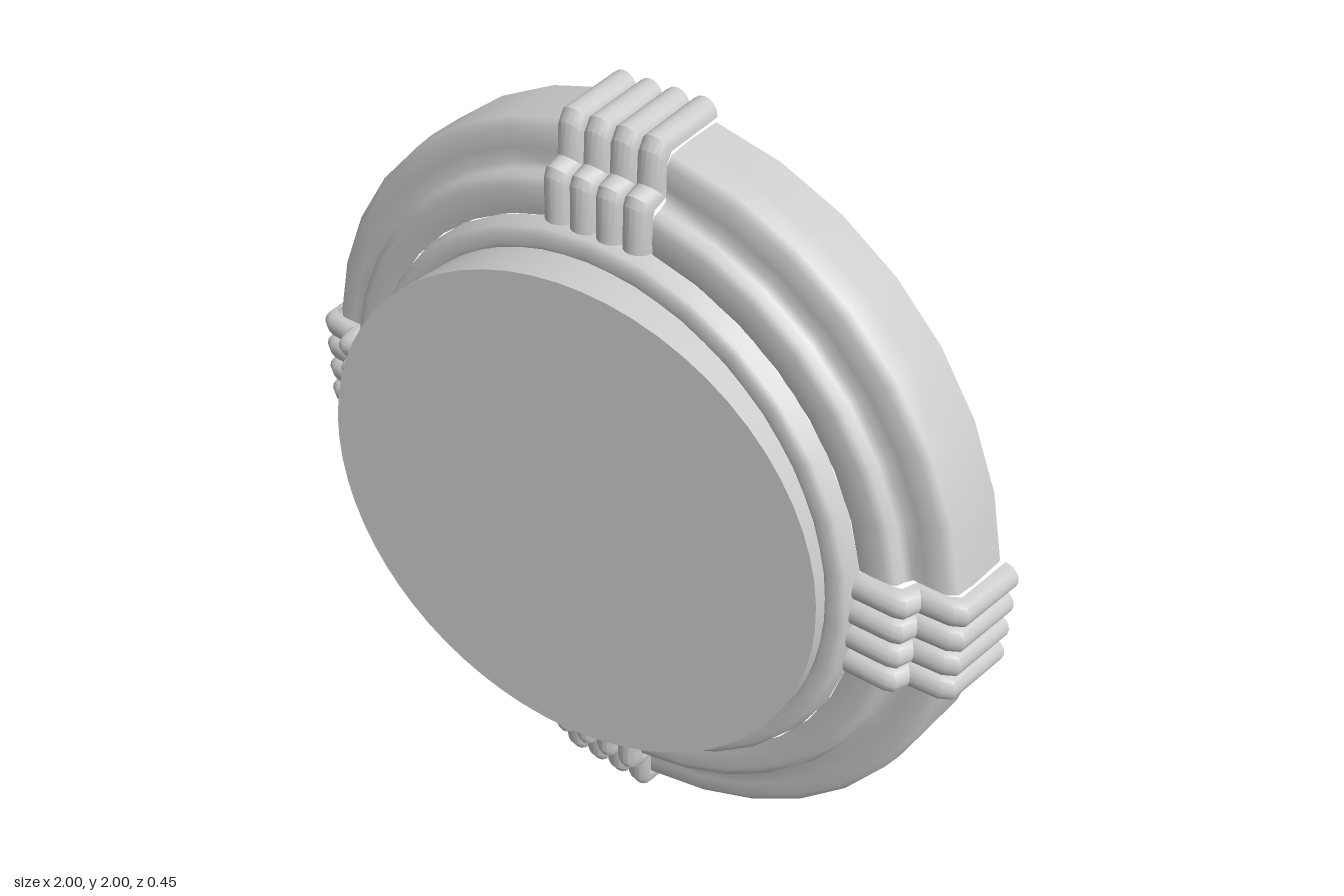
import * as THREE from 'three';
import { toCreasedNormals } from 'three/addons/utils/BufferGeometryUtils.js';
import { ParametricGeometry } from 'three/addons/geometries/ParametricGeometry.js';

const mat = new THREE.MeshStandardMaterial({ color: 0xcccccc, side: THREE.DoubleSide });
const DISC_R = 0.675, RIB_HALF = 0.0363, BAND_HALF = RIB_HALF * 4;

// Profiles are [radius, z] pairs
const shellProfile = [
  [0.96, -0.225], [0.954, -0.12], [0.945, -0.065], [0.925, -0.049], [0.88, -0.045],
  [0.845, -0.049], [0.834, -0.03], [0.826, -0.008], [0.805, 0.001], [0.765, 0.001], [0.738, -0.004],
];
const innerProfile = [[0.738, -0.004], [0.732, 0.015], [0.725, 0.036], [0.71, 0.045], [0.685, 0.046], [DISC_R, 0.042]];
const ribValley = [
  [0.962, -0.225], [0.945, -0.06], [0.92, -0.045], [0.845, -0.045], [0.83, -0.005], [0.81, 0], [0.73, 0],
];
const ribCrest = [
  [1, -0.225], [0.978, -0.04], [0.95, -0.022], [0.875, -0.015], [0.862, 0.024], [0.84, 0.034], [0.73, 0.034],
];

function add(parent, name, geometry) {
  const mesh = new THREE.Mesh(geometry, mat);
  mesh.name = name;
  parent.add(mesh);
  return mesh;
}

function lathe(profile, segments, arc) {
  const pts = profile.map(([r, z]) => new THREE.Vector2(r, z));
  return new THREE.LatheGeometry(pts, segments, 0, arc).rotateX(Math.PI / 2);
}

// Quarter of the stepped shell, its ends trimmed straight along the rib bands
function shellQuarter() {
  const geo = lathe(shellProfile, 7, Math.PI / 2);
  const p = geo.attributes.position;
  for (let i = 0; i < p.count; i++) {
    const r = Math.hypot(p.getX(i), p.getY(i));
    const t = Math.atan2(p.getX(i), -p.getY(i)) / (Math.PI / 2);
    const trim = Math.asin((BAND_HALF - 0.003) / r);
    const a = THREE.MathUtils.lerp(trim, Math.PI / 2 - trim, t);
    p.setXY(i, r * Math.sin(a), -r * Math.cos(a));
  }
  geo.computeVertexNormals();
  return geo;
}

// One half-round rib following the stepped profile, pointing up
function ribGeometry() {
  const steps = ribCrest.length - 1;
  const geo = new ParametricGeometry((u, v, target) => {
    const i = Math.round(v * steps);
    const a = Math.PI * u;
    const h = Math.sin(a);
    const [r0, z0] = ribValley[i], [r1, z1] = ribCrest[i];
    target.set(-Math.cos(a) * RIB_HALF, r0 + (r1 - r0) * h, z0 + (z1 - z0) * h);
  }, 8, steps);
  return toCreasedNormals(geo, 0.5);
}

export function createModel() {
  const model = new THREE.Group();
  model.name = 'steppedRoundCap';
  const body = new THREE.Group();
  body.name = 'body';
  body.position.y = 1;
  model.add(body);

  // Four shell quarters with a band of four ribs between each pair
  const quarter = shellQuarter();
  const rib = ribGeometry();
  for (let q = 0; q < 4; q++) {
    add(body, 'shellQuarter', quarter).rotation.z = q * Math.PI / 2;
    const band = new THREE.Group();
    band.name = 'ribBand';
    band.rotation.z = q * Math.PI / 2;
    for (let k = 0; k < 4; k++) add(band, 'rib', rib).position.x = (k - 1.5) * 2 * RIB_HALF;
    body.add(band);
  }

  // Innermost ring
  add(body, 'innerRing', lathe(innerProfile, 32, Math.PI * 2));

  // Hollow drum with a slanted face, higher on the -x side
  const slant = (x) => 0.15 - 0.105 * x;
  const wall = new THREE.CylinderGeometry(DISC_R, DISC_R, 1, 64, 1, true).rotateX(Math.PI / 2);
  const w = wall.attributes.position;
  for (let i = 0; i < w.count; i++) w.setZ(i, w.getZ(i) > 0 ? slant(w.getX(i)) : 0.042);
  add(body, 'drumWall', wall);

  const face = new THREE.CircleGeometry(DISC_R, 64);
  const f = face.attributes.position;
  for (let i = 0; i < f.count; i++) f.setZ(i, slant(f.getX(i)));
  face.computeVertexNormals();
  add(body, 'drumFace', face);

  return model;
}
